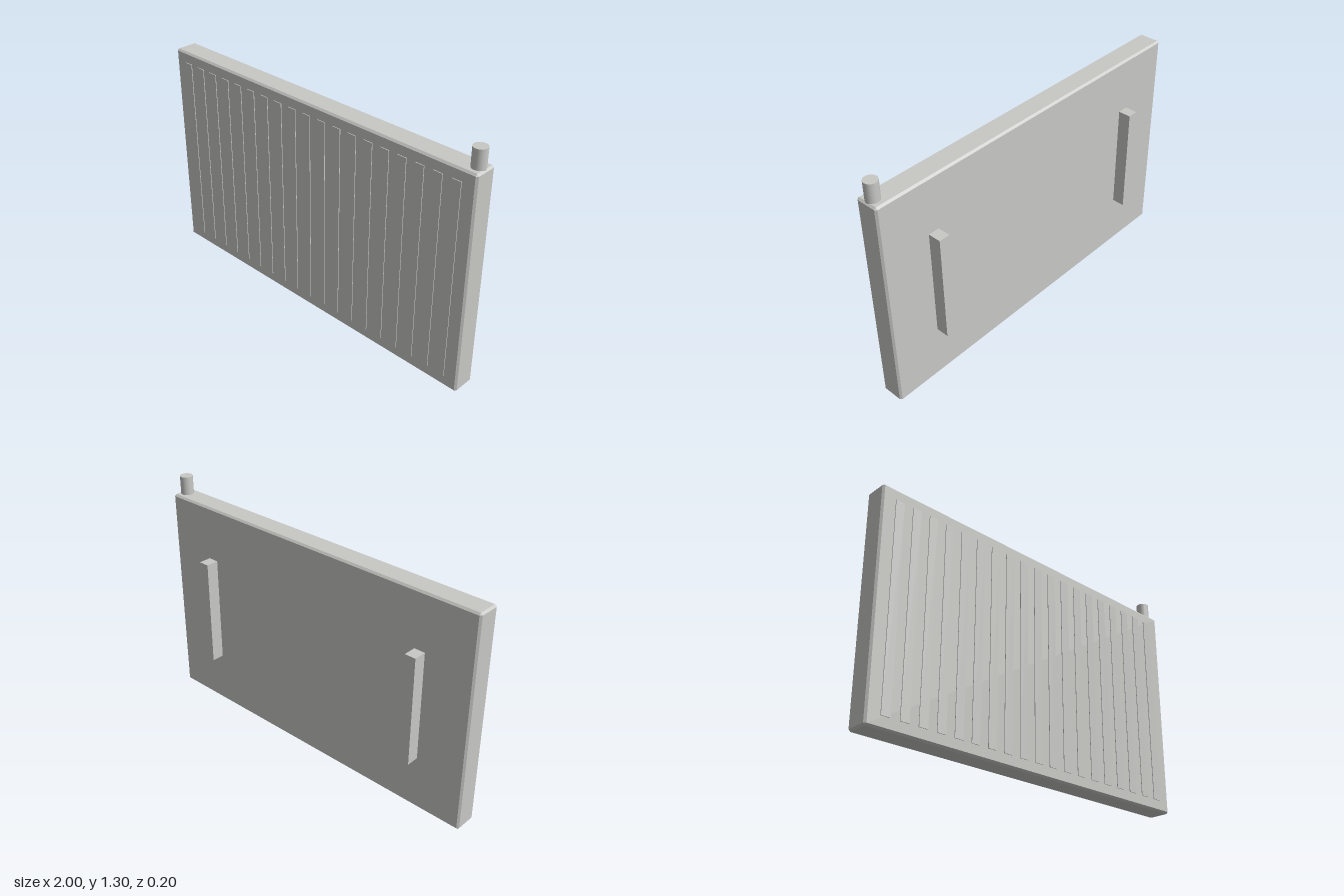
import * as THREE from 'three';
import { ConvexGeometry } from 'three/addons/geometries/ConvexGeometry.js';

// Box with every edge cut by a flat chamfer
function chamferedBox(w, h, d, c) {
  const points = [];
  for (const sx of [-1, 1]) for (const sy of [-1, 1]) for (const sz of [-1, 1]) {
    const x = sx * w / 2, y = sy * h / 2, z = sz * d / 2;
    points.push(
      new THREE.Vector3(x, y - sy * c, z - sz * c),
      new THREE.Vector3(x - sx * c, y, z - sz * c),
      new THREE.Vector3(x - sx * c, y - sy * c, z)
    );
  }
  return new ConvexGeometry(points);
}

export function createModel() {
  const model = new THREE.Group();
  model.name = 'radiator';
  const enamel = new THREE.MeshStandardMaterial({ color: 0xc8c8c5 });
  enamel.name = 'light grey enamel';

  function add(name, geometry, x, y, z, parent = model) {
    const mesh = new THREE.Mesh(geometry, enamel);
    mesh.name = name;
    mesh.position.set(x, y, z);
    parent.add(mesh);
  }

  // Main panel
  add('panel', chamferedBox(2, 1.2, 0.126, 0.01), 0, 0.6, 0.033);

  // Shallow vertical ribs across the front
  const ribs = new THREE.Group();
  ribs.name = 'frontRibs';
  model.add(ribs);
  const ribGeometry = new THREE.BoxGeometry(0.05, 1.08, 0.02);
  for (let i = 0; i < 19; i++) add('rib', ribGeometry, -0.9 + i * 0.1, 0.6, 0.09, ribs);

  // Wall brackets on the back
  const bracketGeometry = new THREE.BoxGeometry(0.06, 0.6, 0.08);
  add('leftBracket', bracketGeometry, 0.7, 0.6, -0.06);
  add('rightBracket', bracketGeometry, -0.7, 0.6, -0.06);

  // Valve standing on the top corner
  add('valve', new THREE.CylinderGeometry(0.035, 0.035, 0.11, 24), 0.96, 1.245, 0.034);

  return model;
}
